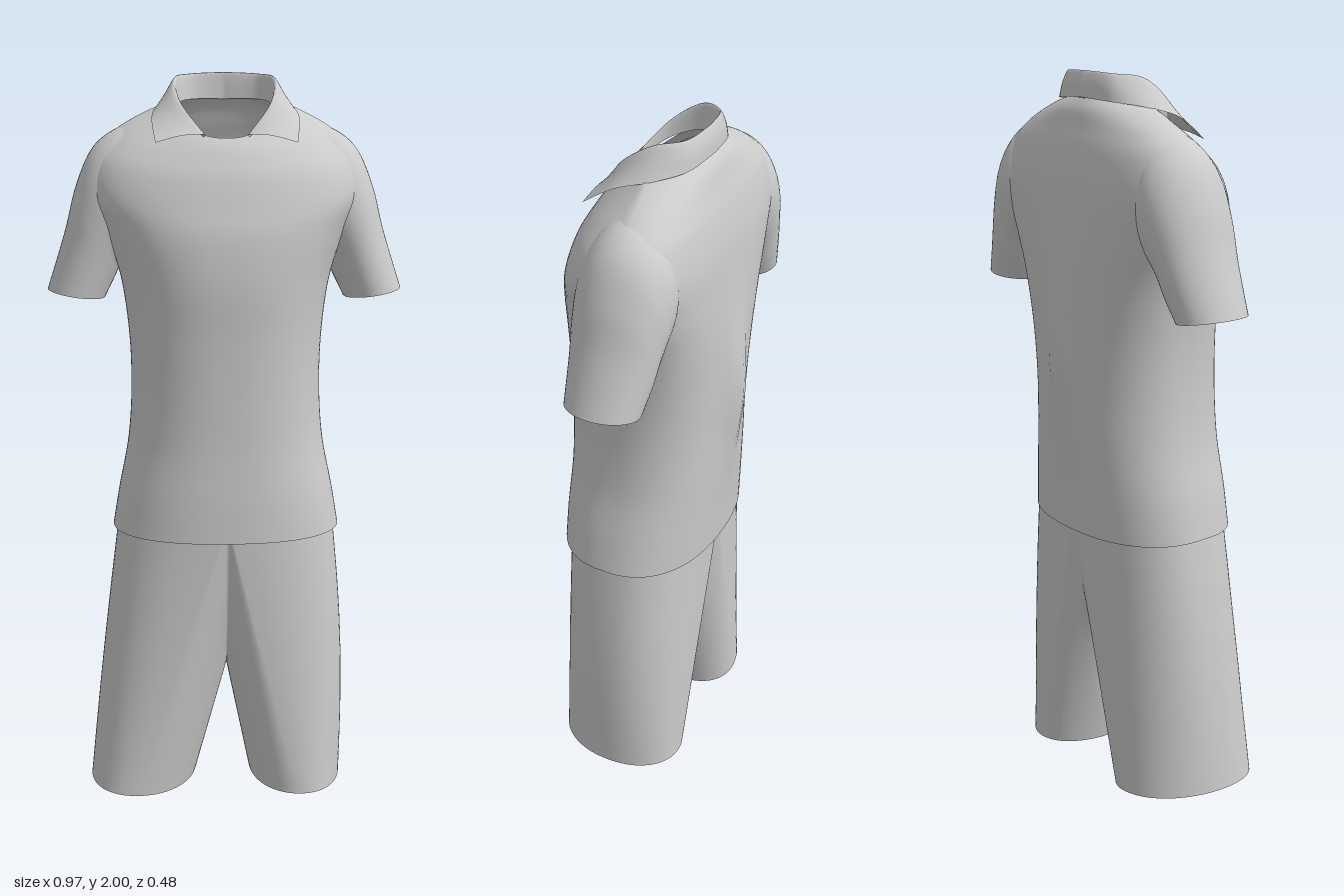
import * as THREE from 'three';
import { mergeVertices, mergeGeometries } from 'three/addons/utils/BufferGeometryUtils.js';

const lerp = THREE.MathUtils.lerp;
const fabric = new THREE.MeshStandardMaterial({ color: 0xcccccc, side: THREE.DoubleSide });
fabric.name = 'greyFabric';

// Smooth curve through rows of numbers, t in 0..1
function spline(rows, t) {
  const f = t * (rows.length - 1), i = Math.min(Math.floor(f), rows.length - 2), k = f - i;
  const row = (n) => rows[THREE.MathUtils.clamp(n, 0, rows.length - 1)];
  return rows[i].map((b, c) => {
    const a = row(i - 1)[c], d = row(i + 1)[c], e = row(i + 2)[c];
    return b + 0.5 * k * (d - a + k * (2 * a - 5 * b + 4 * d - e + k * (3 * (b - d) + e - a)));
  });
}

// Surface from a rule (u around, v along) -> [x, y, z]
function sheet(nu, nv, rule) {
  const pos = [], index = [];
  for (let j = 0; j <= nv; j++) for (let i = 0; i <= nu; i++) pos.push(...rule(i / nu, j / nv));
  for (let j = 0; j < nv; j++) for (let i = 0; i < nu; i++) {
    const a = j * (nu + 1) + i, b = a + nu + 1;
    index.push(a, a + 1, b, a + 1, b + 1, b);
  }
  const g = new THREE.BufferGeometry();
  g.setAttribute('position', new THREE.Float32BufferAttribute(pos, 3));
  g.setIndex(index);
  return g;
}

function part(name, ...geometries) {
  const g = mergeVertices(mergeGeometries(geometries), 1e-5);
  g.computeVertexNormals();
  const mesh = new THREE.Mesh(g, fabric);
  mesh.name = name;
  return mesh;
}

const power = (x, p) => Math.sign(x) * Math.abs(x) ** p;

// Torso rings: half width, side y, front y, front z, back y, back z, widest z, front and back squareness
const torsoRings = [
  [0.315, 0.775, 0.77, 0.24, 0.765, -0.19, 0.03, 2.35, 2.3],
  [0.297, 0.88, 0.88, 0.235, 0.88, -0.197, 0.025, 2.35, 2.3],
  [0.27, 1.02, 1.02, 0.226, 1.02, -0.205, 0.01, 2.35, 2.3],
  [0.26, 1.17, 1.17, 0.222, 1.17, -0.208, 0, 2.35, 2.3],
  [0.265, 1.32, 1.32, 0.221, 1.32, -0.211, -0.01, 2.35, 2.4],
  [0.287, 1.47, 1.46, 0.223, 1.47, -0.212, -0.03, 2.35, 2.6],
  [0.33, 1.6, 1.58, 0.212, 1.6, -0.207, -0.045, 2.35, 2.9],
  [0.37, 1.7, 1.66, 0.19, 1.71, -0.2, -0.055, 2.3, 3],
  [0.352, 1.79, 1.735, 0.165, 1.8, -0.184, -0.055, 2.2, 2.8],
  [0.29, 1.855, 1.78, 0.142, 1.86, -0.165, -0.05, 2.1, 2.5],
  [0.2, 1.905, 1.812, 0.122, 1.905, -0.15, -0.045, 2.1, 2.2],
  [0.13, 1.93, 1.835, 0.1, 1.932, -0.13, -0.03, 2.2, 2.15],
];

function torso() {
  return sheet(96, 88, (u, v) => {
    const [w, yS, yF, zF, yB, zB, zS, nF, nB] = spline(torsoRings, v);
    const a = u * Math.PI * 2, c = Math.cos(a), s = Math.sin(a);
    const p = 2 / (c > 0 ? nF : nB);
    const x = w * power(s, p), q = Math.abs(c) ** p;
    let z = lerp(zS, c > 0 ? zF : zB, q);
    const y = lerp(yS, c > 0 ? yF : yB, q);
    // Loose fold hanging down the middle of the back
    if (c < 0) z -= 0.03 * Math.exp(-((x / 0.055) ** 2) - ((y - 1.27) / 0.2) ** 2);
    return [x, y, z];
  });
}

// Sleeve rings: outer x, y, inner x, y, centre z, half depth
const sleeveRings = [
  [0.21, 1.875, 0.22, 1.57, -0.05, 0.1],
  [0.295, 1.853, 0.26, 1.525, -0.058, 0.124],
  [0.36, 1.8, 0.288, 1.485, -0.058, 0.123],
  [0.405, 1.7, 0.3, 1.46, -0.055, 0.117],
  [0.437, 1.58, 0.315, 1.43, -0.052, 0.11],
  [0.487, 1.425, 0.33, 1.4, -0.045, 0.1],
];

function sleeve(side) {
  return sheet(48, 36, (u, v) => {
    const [xo, yo, xi, yi, zc, r] = spline(sleeveRings, v);
    const a = -side * u * Math.PI * 2, k = 0.5 + 0.5 * Math.cos(a);
    return [side * lerp(xi, xo, k), lerp(yi, yo, k), zc + r * Math.sin(a)];
  });
}

// Folded collar: half curves from centre back to the front point
const collarRows = [
  [[0, 1.93, -0.125], [0.085, 1.93, -0.1], [0.122, 1.92, -0.04], [0.112, 1.885, 0.04], [0.06, 1.838, 0.1]],
  [[0, 2, -0.125], [0.09, 1.996, -0.108], [0.132, 1.985, -0.04], [0.12, 1.925, 0.045], [0.06, 1.845, 0.107]],
  [[0, 1.972, -0.138], [0.105, 1.968, -0.118], [0.157, 1.95, -0.045], [0.162, 1.905, 0.04], [0.118, 1.842, 0.117]],
  [[0, 1.935, -0.142], [0.11, 1.928, -0.124], [0.175, 1.915, -0.06], [0.195, 1.887, 0.03], [0.185, 1.825, 0.123]],
];

function collar() {
  return sheet(64, 18, (u, v) => {
    const t = u * 2 - 1;
    const [x, y, z] = spline(collarRows.map((row) => spline(row, Math.abs(t))), v);
    return [Math.sign(t) * x, y, z];
  });
}

// One half of the shorts: outer columns fall from the waist, inner ones from the crotch seam
function shortsLeg(side, hem) {
  return sheet(72, 36, (u, v) => {
    const a = (side > 0 ? u : 1 - u) * Math.PI * 2, c = Math.cos(a), s = Math.sin(a);
    const outer = s >= -1e-9;
    const p = 2 / 2.5, hp = 2 / 2.1;
    // Hem oval, turned outward by the twist
    const hx = hem.centre + hem.half * power(Math.sin(a + hem.twist), hp);
    const hz = 0.03 + 0.187 * power(Math.cos(a - hem.twist), hp);
    const hy = lerp(hem.innerY, hem.outerY, 0.5 + 0.5 * s);
    let x0 = 0, y0, z0;
    if (outer) {
      x0 = 0.297 * Math.max(0, s) ** p;
      y0 = 0.82;
      z0 = 0.02 + 0.198 * power(c, p);
    } else {
      y0 = 0.365 + 0.455 * Math.abs(c) ** 1.8;
      z0 = 0.02 + 0.198 * power(c, 0.4);
    }
    const bulge = hem.bulge * Math.max(0, s) * Math.sin(Math.PI * v);
    return [side * (lerp(x0, hx, v) + bulge), lerp(y0, hy, v), lerp(z0, hz, v)];
  });
}

export function createModel() {
  const model = new THREE.Group();
  model.name = 'shirtAndShorts';
  const shirt = new THREE.Group();
  shirt.name = 'shirt';
  shirt.add(
    part('shirtBody', torso()),
    part('leftSleeve', sleeve(1)),
    part('rightSleeve', sleeve(-1)),
    part('collar', collar()),
  );
  model.add(shirt);
  model.add(part('shorts',
    shortsLeg(1, { centre: 0.2, half: 0.132, innerY: 0.02, outerY: 0.01, bulge: 0.017, twist: 0 }),
    shortsLeg(-1, { centre: 0.238, half: 0.152, innerY: 0, outerY: 0.03, bulge: 0.004, twist: 0.13 })));
  return model;
}
